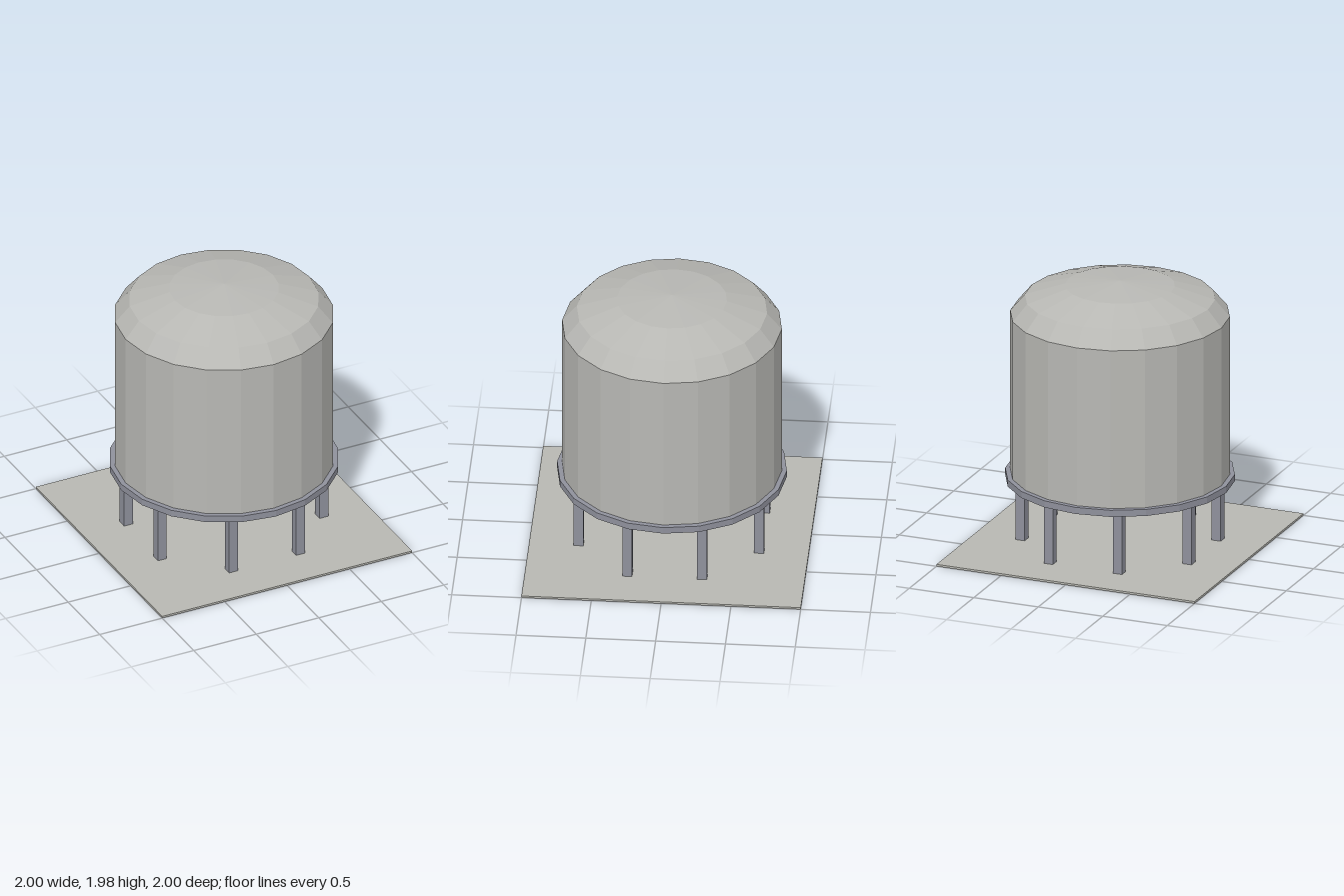
import * as THREE from 'three';

const SIDES = 20;

function material(name, color) {
  const m = new THREE.MeshStandardMaterial({ color });
  m.name = name;
  return m;
}

// Low-poly look: split every face so it gets its own flat normal
function flat(geometry) {
  const g = geometry.toNonIndexed();
  g.computeVertexNormals();
  return g;
}

export function createModel() {
  const group = new THREE.Group();
  group.name = 'storageTank';

  const concrete = material('concrete', 0xb8b8b2);
  const tankMetal = material('tankMetal', 0xb8b8b4);
  const steel = material('steel', 0x8f919c);

  function add(name, geometry, mat, x, y, z) {
    const mesh = new THREE.Mesh(geometry, mat);
    mesh.name = name;
    mesh.position.set(x, y, z);
    group.add(mesh);
    return mesh;
  }

  // Ground slab
  const slabH = 0.015;
  add('slab', new THREE.BoxGeometry(2, slabH, 2), concrete, 0, slabH / 2, 0);

  // Eight square legs in a ring, all aligned with the slab
  const legBottom = 0.005, legTop = 0.49, legRing = 0.7;
  const legGeometry = new THREE.BoxGeometry(0.07, legTop - legBottom, 0.07);
  for (let i = 0; i < 8; i++) {
    const a = ((i + 0.5) / 8) * Math.PI * 2;
    add('leg' + (i + 1), legGeometry, steel,
      Math.cos(a) * legRing, (legBottom + legTop) / 2, Math.sin(a) * legRing);
  }

  // Support ring plate under the tank
  add('supportPlate', flat(new THREE.CylinderGeometry(0.823, 0.823, 0.05, SIDES)),
    steel, 0, 0.505, 0);

  // Tank wall, standing on the plate
  const radius = 0.787, wallBottom = 0.53, wallTop = 1.728;
  add('tankWall', flat(new THREE.CylinderGeometry(radius, radius, wallTop - wallBottom, SIDES, 1, true)),
    tankMetal, 0, (wallTop + wallBottom) / 2, 0);

  // Flattened domed roof
  const dome = new THREE.SphereGeometry(radius, SIDES, 3, 0, Math.PI * 2, 0, Math.PI / 2);
  dome.scale(1, 0.25 / radius, 1);
  add('domedRoof', flat(dome), tankMetal, 0, wallTop, 0);

  return group;
}
